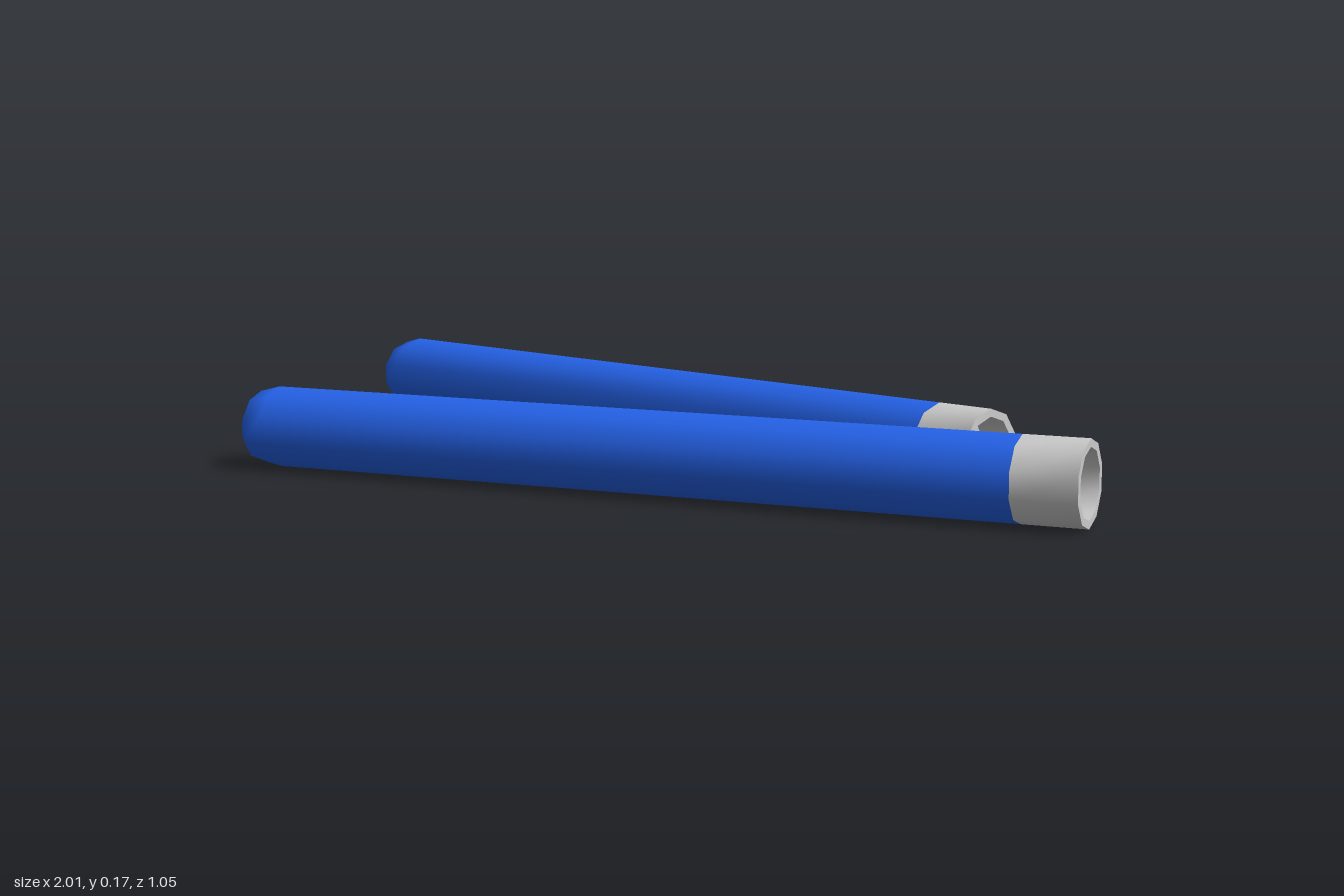
import * as THREE from 'three';
import { toCreasedNormals } from 'three/addons/utils/BufferGeometryUtils.js';

const SIDES = 10, R = 0.085, BORE = 0.069;
const blue = new THREE.MeshStandardMaterial({ color: 0x2563eb });
const grey = new THREE.MeshStandardMaterial({ color: 0xcccccc });

// Ten-sided turned part along +x; each point is [radius, distance along x]
function turned(name, points, material, crease) {
  const profile = points.map(([r, x]) => new THREE.Vector2(r, x));
  let geometry = new THREE.LatheGeometry(profile, SIDES, Math.PI / 2);
  if (crease) geometry = toCreasedNormals(geometry, crease);
  geometry.rotateZ(-Math.PI / 2);
  const mesh = new THREE.Mesh(geometry, material);
  mesh.name = name;
  return mesh;
}

// One stick with its open mouth at the local origin, reaching back along -x
function createStick(name, x, z, yaw) {
  const stick = new THREE.Group();
  stick.name = name;

  // Blue barrel with a blunt rounded tip
  stick.add(turned('barrel', [
    [0, -1.822], [0.042, -1.82], [0.073, -1.797], [R, -1.75], [R, -0.13],
  ], blue));

  // Grey collar: outer wall, rim, bore and bore floor
  stick.add(turned('collar', [
    [R, -0.13], [R, 0], [BORE, 0], [BORE, -0.075], [0, -0.075],
  ], grey, 0.9));

  stick.position.set(x, R, z);
  stick.rotation.y = yaw;
  return stick;
}

export function createModel() {
  const model = new THREE.Group();
  model.name = 'pairOfSticks';
  model.add(createStick('frontStick', 1, 0.444, 0));
  model.add(createStick('backStick', 0.718, 0.152, -THREE.MathUtils.degToRad(20)));
  return model;
}
